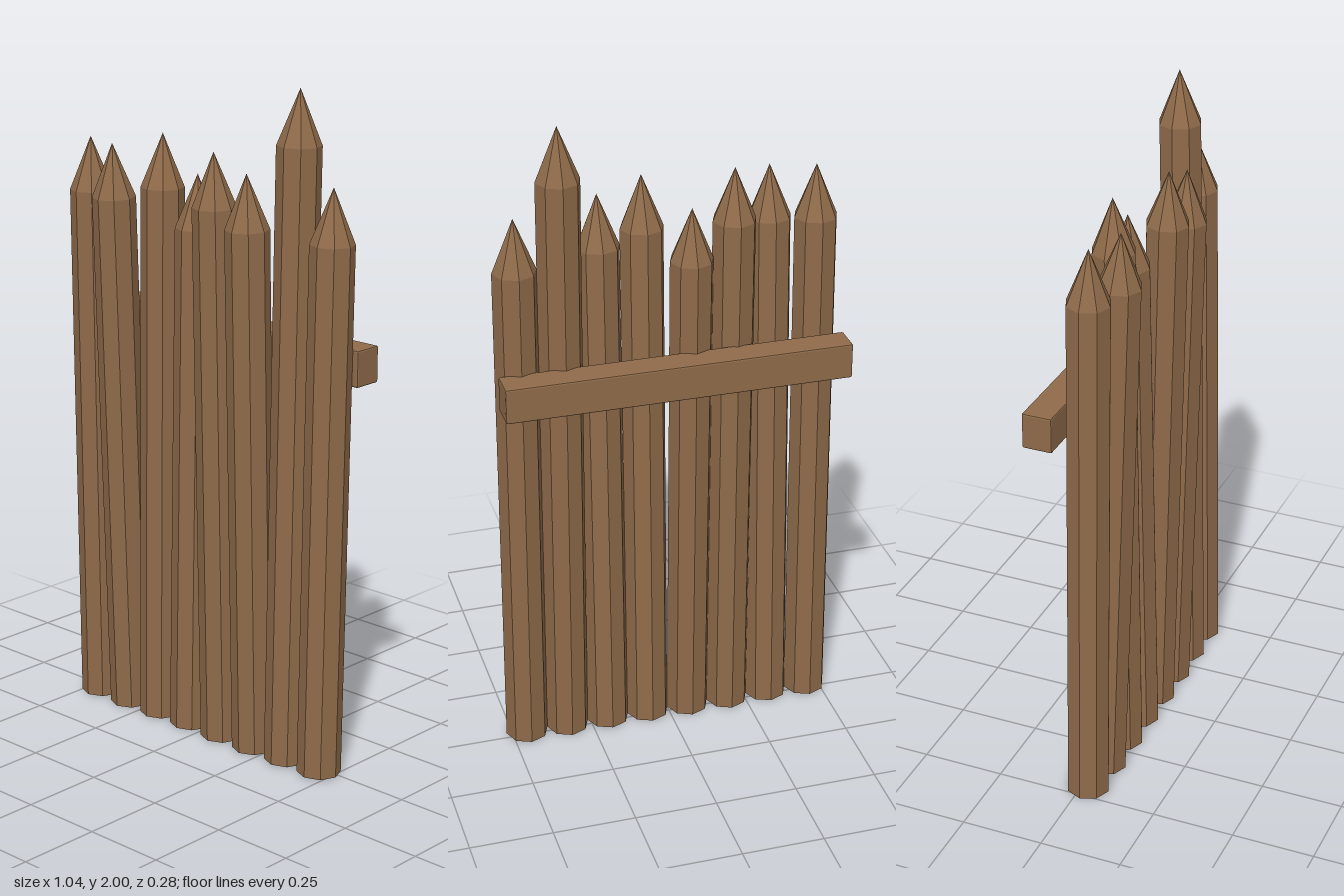
import * as THREE from 'three';
import { RoundedBoxGeometry } from 'three/addons/geometries/RoundedBoxGeometry.js';

const RADIUS = 0.065, POINT = 0.16, SPACING = 0.1295, BASE_Y = 0.003, BASE_Z = 0.02;

// One entry per stake, from -x to +x: height of the tip and z of the shoulder
const STAKES = [
  [1.78, 0.038], [1.78, 0.073], [1.815, 0.0], [1.71, -0.01],
  [1.80, 0.055], [1.755, 0.058], [2.0, -0.013], [1.74, -0.008],
];

// Faceted look: every face gets its own normal
function faceted(geometry) {
  const flat = geometry.index ? geometry.toNonIndexed() : geometry;
  flat.computeVertexNormals();
  return flat;
}

// Eight-sided log with a sharpened top, standing on its own origin
function stakeGeometry(length) {
  const profile = [[0, 0], [RADIUS, 0], [RADIUS, length - POINT], [0, length]];
  return faceted(new THREE.LatheGeometry(profile.map(([x, y]) => new THREE.Vector2(x, y)), 8));
}

export function createModel() {
  const model = new THREE.Group();
  model.name = 'palisade';
  const wood = new THREE.MeshStandardMaterial({ color: 0x8f6b4a });
  wood.name = 'wood';

  // Row of stakes, each leaning slightly forward or back
  STAKES.forEach(([tip, shoulderZ], i) => {
    const length = tip - BASE_Y;
    const stake = new THREE.Mesh(stakeGeometry(length), wood);
    stake.name = `stake${i + 1}`;
    stake.position.set((i - 3.5) * SPACING, BASE_Y, BASE_Z);
    stake.rotation.x = Math.atan2(shoulderZ - BASE_Z, length - POINT);
    model.add(stake);
  });

  // Cross beam along the back
  const beam = new THREE.Mesh(faceted(new RoundedBoxGeometry(1.036, 0.108, 0.09, 1, 0.005)), wood);
  beam.name = 'crossBeam';
  beam.position.set(0, 1.224, -0.094);
  model.add(beam);

  return model;
}
